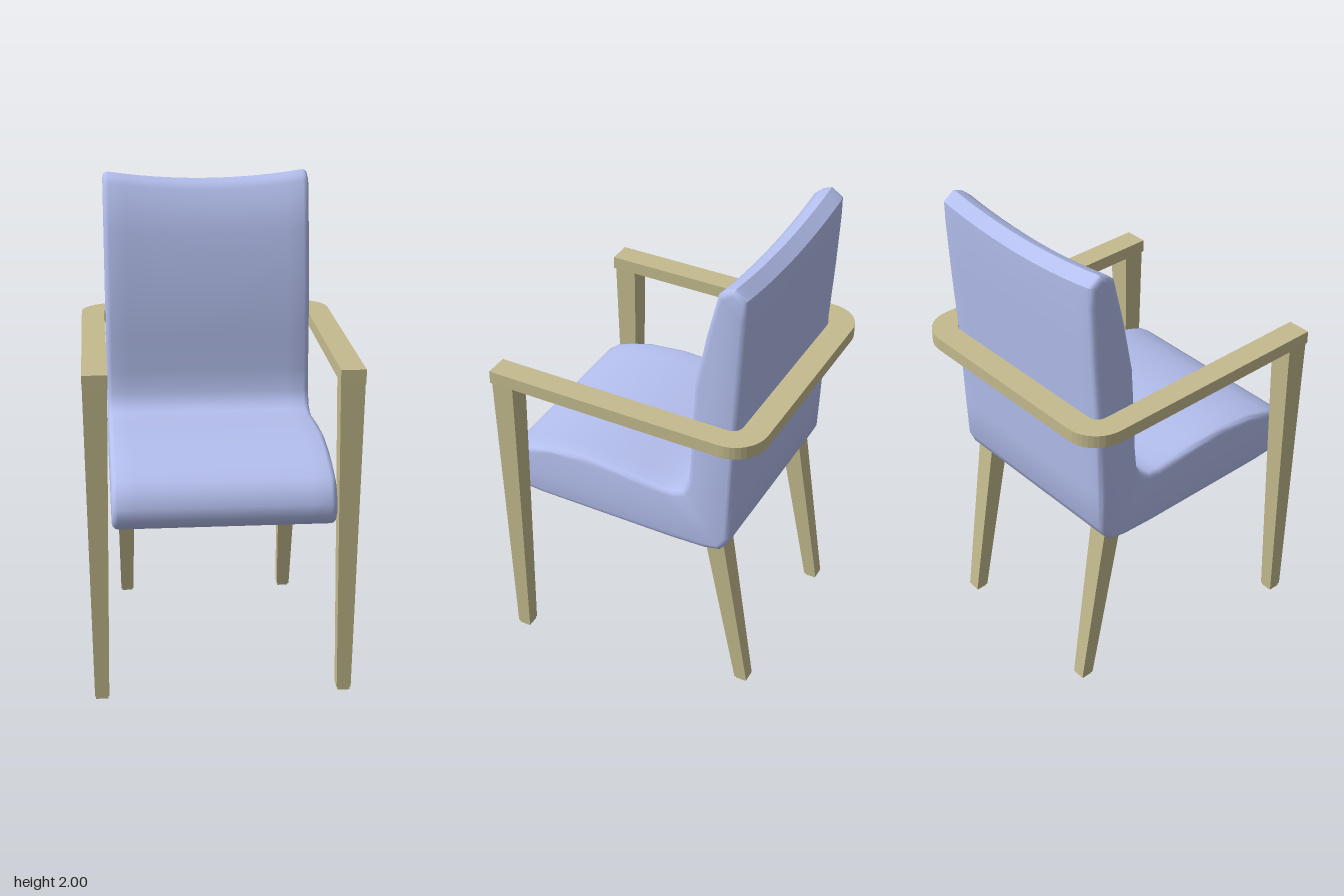
import * as THREE from 'three';
import { toCreasedNormals } from 'three/addons/utils/BufferGeometryUtils.js';

const fabric = new THREE.MeshStandardMaterial({ color: 0xb4bfee });
const wood = new THREE.MeshStandardMaterial({ color: 0xc4bb8e });

function addMesh(parent, name, geometry, material) {
  const mesh = new THREE.Mesh(geometry, material);
  mesh.name = name;
  parent.add(mesh);
  return mesh;
}

// Box whose top and bottom rectangles are given as { at: [x, y, z], size: [x, z] }
function taperedPost(top, bottom) {
  const geometry = new THREE.BoxGeometry(1, 1, 1).toNonIndexed();
  const pos = geometry.attributes.position;
  for (let i = 0; i < pos.count; i++) {
    const { at, size } = pos.getY(i) > 0 ? top : bottom;
    pos.setXYZ(i, at[0] + pos.getX(i) * size[0], at[1], at[2] + pos.getZ(i) * size[1]);
  }
  geometry.computeVertexNormals();
  return geometry;
}

// Upholstered seat and back: one L-shaped side profile (z, y) swept across x
function upholstery() {
  const profile = [
    [0.4, 0.735], [0.52, 0.742], [0.57, 0.76], [0.6, 0.8], [0.6, 0.85], [0.57, 0.908],
    [0.53, 0.94], [0.46, 0.965], [0.36, 0.993], [0.19, 1.01], [0.05, 1.003], [-0.08, 0.99],
    [-0.16, 0.982], [-0.21, 0.986], [-0.25, 1.003], [-0.275, 1.055], [-0.284, 1.15],
    [-0.289, 1.3], [-0.302, 1.53], [-0.345, 1.76], [-0.392, 1.96], [-0.42, 1.985],
    [-0.46, 2.0], [-0.51, 1.965], [-0.51, 1.88], [-0.5, 1.65], [-0.485, 1.4],
    [-0.472, 1.0], [-0.465, 0.83], [-0.445, 0.785], [-0.42, 0.757], [-0.35, 0.741], [-0.2, 0.735],
  ];
  const shape = new THREE.Shape(profile.map(([z, y]) => new THREE.Vector2(z, y)));
  const halfWidth = 0.443, bevel = 0.024;
  const depth = 2 * (halfWidth - bevel);
  const geometry = new THREE.ExtrudeGeometry(shape, {
    depth, steps: 12, bevelThickness: bevel, bevelSize: bevel, bevelOffset: -bevel, bevelSegments: 3,
  });
  geometry.translate(0, 0, -depth / 2).rotateY(-Math.PI / 2);
  // Dip the top edge towards the middle
  const pos = geometry.attributes.position;
  for (let i = 0; i < pos.count; i++) {
    const x = pos.getX(i) / halfWidth, y = pos.getY(i);
    pos.setY(i, y - 0.036 * (1 - x * x) * THREE.MathUtils.smoothstep(y, 1.5, 1.97));
  }
  geometry.deleteAttribute('uv');
  return toCreasedNormals(geometry, 0.9);
}

// U-shaped arm rail, drawn in plan with y = -z and laid flat
function armRail() {
  const outer = 0.546, inner = 0.447, front = -0.555, back = 0.6, backInner = 0.495;
  const r = 0.14, ri = 0.045;
  const shape = new THREE.Shape();
  shape.moveTo(outer, front);
  shape.lineTo(outer, back - r);
  shape.absarc(outer - r, back - r, r, 0, Math.PI / 2, false);
  shape.lineTo(-outer + r, back);
  shape.absarc(-outer + r, back - r, r, Math.PI / 2, Math.PI, false);
  shape.lineTo(-outer, front);
  shape.lineTo(-inner, front);
  shape.lineTo(-inner, backInner - ri);
  shape.absarc(-inner + ri, backInner - ri, ri, Math.PI, Math.PI / 2, true);
  shape.lineTo(inner - ri, backInner);
  shape.absarc(inner - ri, backInner - ri, ri, Math.PI / 2, 0, true);
  shape.lineTo(inner, front);
  const geometry = new THREE.ExtrudeGeometry(shape, { depth: 0.055, bevelEnabled: false, curveSegments: 5 });
  return geometry.rotateX(-Math.PI / 2).translate(0, 1.328, 0);
}

export function createModel() {
  const chair = new THREE.Group();
  chair.name = 'armchair';

  addMesh(chair, 'seatAndBack', upholstery(), fabric);
  addMesh(chair, 'armRail', armRail(), wood);

  for (const [side, s] of [['left', 1], ['right', -1]]) {
    // Front legs rise to the arm rail
    addMesh(chair, side + 'FrontLeg', taperedPost(
      { at: [s * 0.497, 1.33, 0.499], size: [0.096, 0.094] },
      { at: [s * 0.497, 0.014, 0.499], size: [0.058, 0.058] }), wood);
    addMesh(chair, side + 'FrontFoot', taperedPost(
      { at: [s * 0.497, 0.016, 0.499], size: [0.05, 0.05] },
      { at: [s * 0.497, 0, 0.499], size: [0.05, 0.05] }), wood);

    // Back legs rake backwards from under the seat
    addMesh(chair, side + 'BackLeg', taperedPost(
      { at: [s * 0.368, 0.77, -0.385], size: [0.085, 0.084] },
      { at: [s * 0.368, 0.03, -0.515], size: [0.056, 0.056] }), wood);
    addMesh(chair, side + 'BackFoot', taperedPost(
      { at: [s * 0.368, 0.032, -0.514], size: [0.046, 0.044] },
      { at: [s * 0.368, 0.02, -0.516], size: [0.046, 0.044] }), wood);
  }
  return chair;
}
